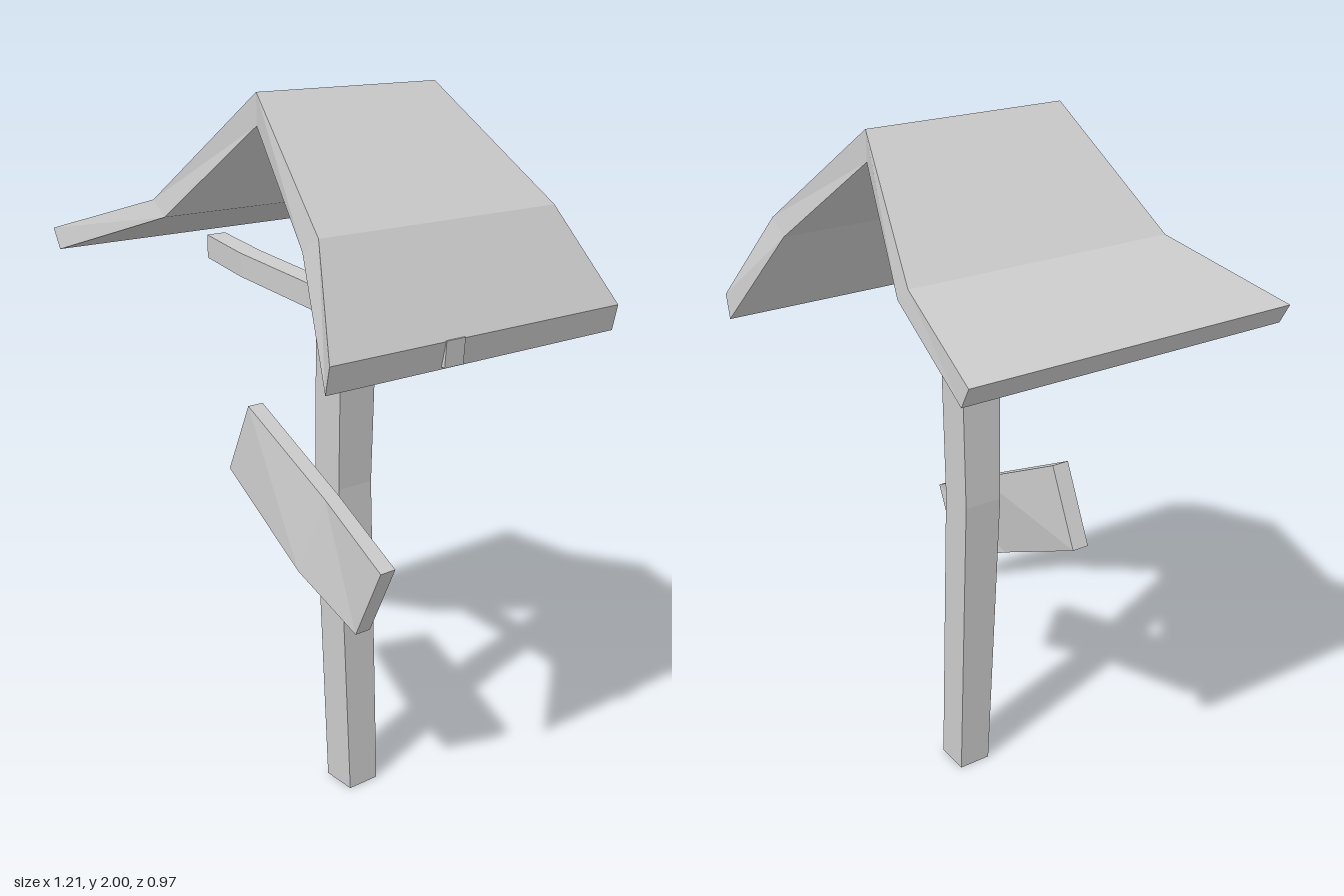
import * as THREE from 'three';

const material = new THREE.MeshStandardMaterial({ color: 0xcccccc, flatShading: true });

// Skins a row of four-cornered cross-sections and caps both ends.
// Corners run counter-clockwise around the direction of travel.
function loft(name, rings) {
  const pos = [];
  const quad = (a, b, c, d) => [a, b, c, a, c, d].forEach((p) => pos.push(...p));
  for (let i = 0; i < rings.length - 1; i++) {
    for (let j = 0; j < 4; j++) {
      const k = (j + 1) % 4;
      quad(rings[i][j], rings[i][k], rings[i + 1][k], rings[i + 1][j]);
    }
  }
  quad(...[...rings[0]].reverse());
  quad(...rings[rings.length - 1]);
  const geometry = new THREE.BufferGeometry();
  geometry.setAttribute('position', new THREE.Float32BufferAttribute(pos, 3));
  geometry.computeVertexNormals();
  const mesh = new THREE.Mesh(geometry, material);
  mesh.name = name;
  return mesh;
}

// Section of a board running along x: top and bottom edge, front and back z,
// with an optional forward lean of the bottom edge.
const board = ([tx, ty, bx, by, front, back, lean = 0]) => [
  [tx, ty, front], [bx, by, front + lean], [bx, by, back + lean], [tx, ty, back],
];

// Section of a post running along y.
const post = ([y, x0, x1, back, front]) => [
  [x1, y, front], [x1, y, back], [x0, y, back], [x0, y, front],
];

export function createModel() {
  const group = new THREE.Group();
  group.name = 'roofedSignpost';

  // Slightly crooked upright
  group.add(loft('post', [
    [0, 0.04, 0.145, -0.08, 0.02],
    [0.93, 0, 0.105, -0.08, 0.035],
    [1.87, 0.03, 0.137, -0.08, 0.05],
  ].map(post)));

  // Bent roof, flaring towards the eaves
  group.add(loft('roof', [
    [-0.605, 1.6, -0.575, 1.545, 0.48, -0.46],
    [-0.26, 1.71, -0.21, 1.67, 0.365, -0.4],
    [0.075, 2, 0.075, 1.92, 0.27, -0.31],
    [0.44, 1.71, 0.38, 1.67, 0.365, -0.4],
    [0.6, 1.465, 0.585, 1.395, 0.46, -0.485],
  ].map(board)));

  // Sloping cross beam, its lower end poking through the eave
  group.add(loft('crossBeam', [
    [-0.39, 1.57, -0.39, 1.505, 0.115, 0.055],
    [-0.2, 1.55, -0.2, 1.485, 0.135, 0.07],
    [0.28, 1.5, 0.28, 1.435, 0.135, 0.07],
    [0.602, 1.467, 0.597, 1.4, 0.115, 0.055],
  ].map(board)));

  // Tilted, warped sign board
  group.add(loft('signBoard', [
    [-0.205, 1.11, -0.305, 0.895, 0.115, 0.065],
    [0.14, 0.93, 0.065, 0.703, 0.11, 0.062, 0.035],
    [0.385, 0.8, 0.285, 0.588, 0.12, 0.07],
  ].map(board)));

  return group;
}
